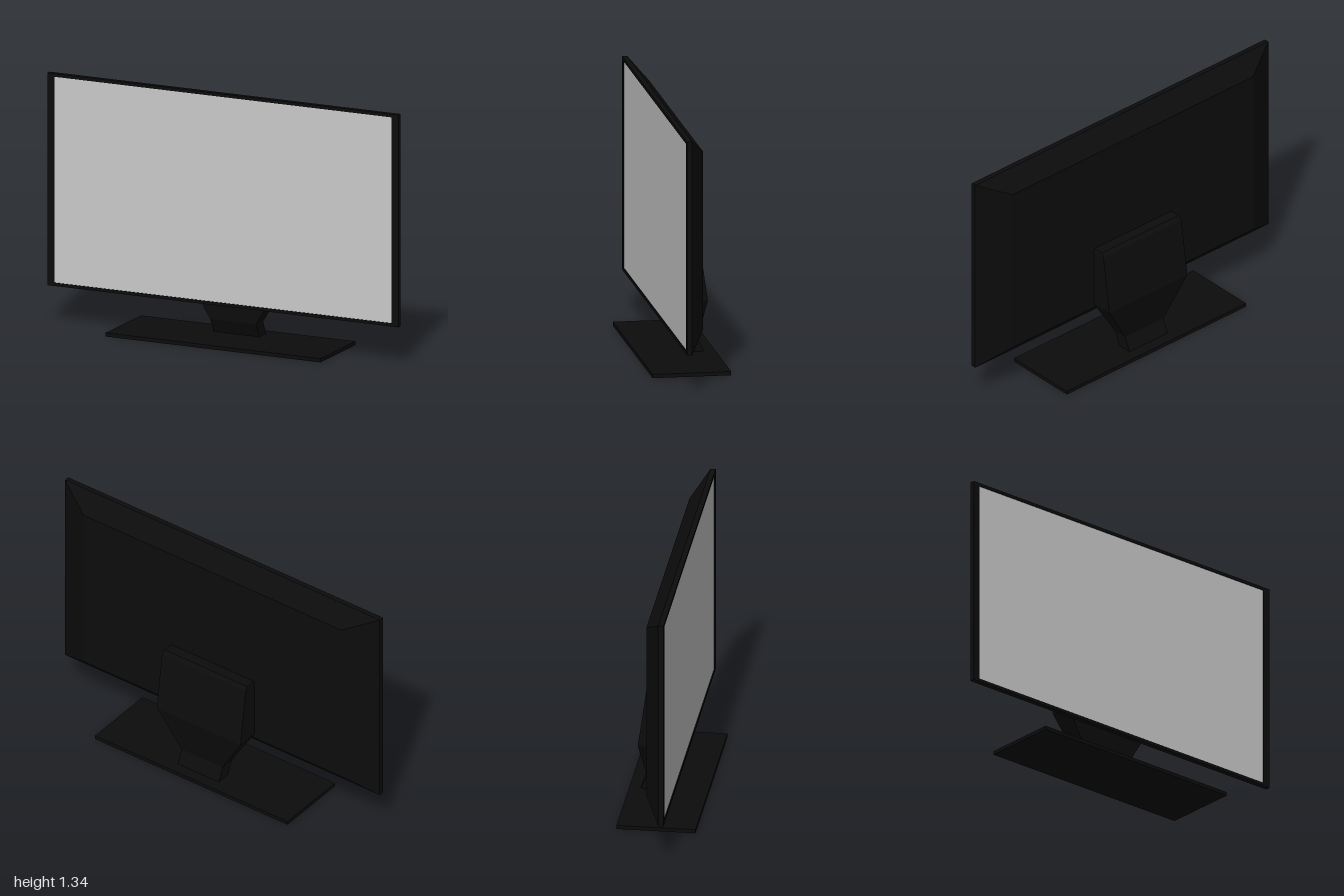
import * as THREE from 'three';

const black = new THREE.MeshStandardMaterial({ color: 0x0c0c0c, flatShading: true });
const grey = new THREE.MeshStandardMaterial({ color: 0xcccccc });

// Closed flat-faced solid through four-cornered rings, counter-clockwise seen from the last ring
function loft(rings) {
  const pos = [];
  const quad = (...p) => [0, 1, 2, 0, 2, 3].forEach((i) => pos.push(...p[i]));
  for (let r = 0; r < rings.length - 1; r++) {
    const a = rings[r], b = rings[r + 1];
    for (let i = 0; i < 4; i++) {
      const j = (i + 1) % 4;
      quad(a[i], a[j], b[j], b[i]);
    }
  }
  quad(...rings[0].slice().reverse());
  quad(...rings[rings.length - 1]);
  const geo = new THREE.BufferGeometry();
  geo.setAttribute('position', new THREE.Float32BufferAttribute(pos, 3));
  geo.computeVertexNormals();
  return geo;
}

// Upright rectangle at depth z, and level rectangle at height y
const upright = (w, y0, y1, z) => [[-w, y0, z], [w, y0, z], [w, y1, z], [-w, y1, z]];
const level = (y, w, front, back) => [[-w, y, front], [w, y, front], [w, y, back], [-w, y, back]];

export function createModel() {
  const model = new THREE.Group();
  const set = new THREE.Group();
  set.name = 'television';
  set.position.set(-0.016, 0, -0.003);
  set.rotation.y = 0.171; // the whole set is turned slightly
  model.add(set);

  const add = (name, geo, mat = black) => {
    const mesh = new THREE.Mesh(geo, mat);
    mesh.name = name;
    set.add(mesh);
    return mesh;
  };

  // Bezel: rectangular frame with the screen opening
  const W = 1.015, SW = 0.975, Y0 = 0.205, Y1 = 1.34, S0 = 0.222, S1 = 1.323;
  const points = (w, y0, y1) => upright(w, y0, y1, 0).map(([x, y]) => new THREE.Vector2(x, y));
  const frame = new THREE.Shape(points(W, Y0, Y1));
  frame.holes.push(new THREE.Path(points(SW, S0, S1).reverse()));
  add('bezel', new THREE.ExtrudeGeometry(frame, { depth: 0.027, bevelEnabled: false })).position.z = 0.064;

  // Screen, set just behind the bezel face
  add('screen', new THREE.PlaneGeometry(2 * SW, S1 - S0), grey)
    .position.set(0, (S0 + S1) / 2, 0.087);

  // Back housing with sloping edges
  add('backHousing', loft([upright(0.832, 0.295, 1.245, -0.023), upright(W, Y0, Y1, 0.064)]));

  // Neck: leaning foot, flare, and mounting box on the back
  add('neck', loft([
    level(0.015, 0.132, -0.071, -0.148),
    level(0.095, 0.132, -0.03, -0.113),
    level(0.32, 0.27, -0.02, -0.144),
    level(0.64, 0.27, -0.02, -0.098),
    level(0.66, 0.265, -0.02, -0.08),
  ]));

  // Base plate
  add('base', new THREE.BoxGeometry(1.242, 0.02, 0.413)).position.set(0, 0.01, -0.001);

  return model;
}
